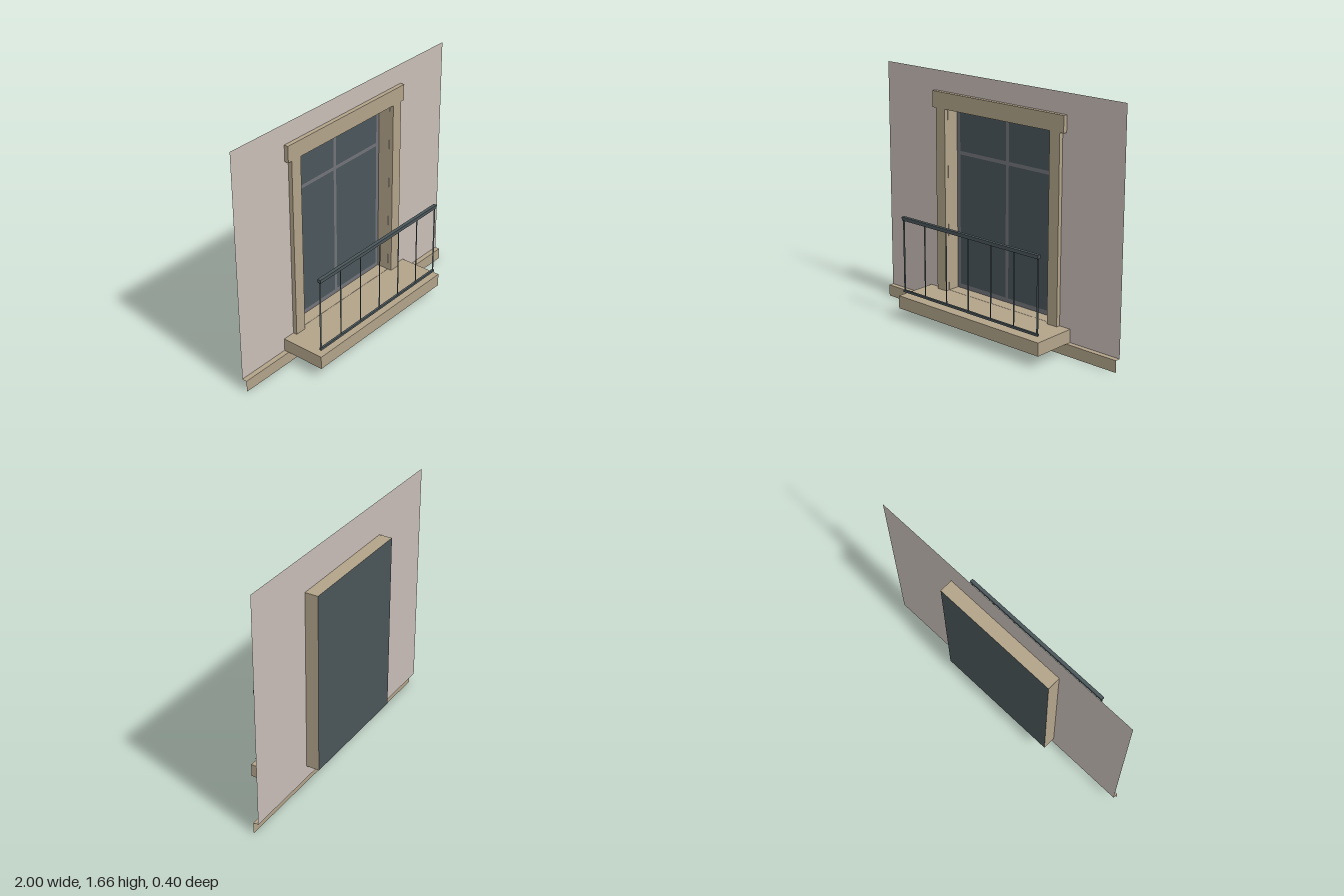
import * as THREE from 'three';

const mat = (name, color) => {
  const m = new THREE.MeshStandardMaterial({ color, side: THREE.DoubleSide });
  m.name = name;
  return m;
};

export function createModel() {
  const model = new THREE.Group();
  model.name = 'balconyWindow';
  const plaster = mat('plaster', 0xc9beb8);
  const stone = mat('stone', 0xb2a48a);
  const darkGrey = mat('darkGrey', 0x4b565a);
  const frameGrey = mat('frameGrey', 0x727379);

  const add = (name, geometry, material, parent = model) => {
    const mesh = new THREE.Mesh(geometry, material);
    mesh.name = name;
    parent.add(mesh);
    return mesh;
  };
  // Box and flat panels given by their limits
  const box = (name, m, x0, x1, y0, y1, z0, z1, parent) =>
    add(name, new THREE.BoxGeometry(x1 - x0, y1 - y0, z1 - z0), m, parent)
      .position.set((x0 + x1) / 2, (y0 + y1) / 2, (z0 + z1) / 2);
  const panel = (name, m, x0, x1, y0, y1, z, parent) =>
    add(name, new THREE.PlaneGeometry(x1 - x0, y1 - y0), m, parent)
      .position.set((x0 + x1) / 2, (y0 + y1) / 2, z);
  const rect = (Type, x0, x1, y0, y1) => new Type([
    [x0, y0], [x1, y0], [x1, y1], [x0, y1],
  ].map(([x, y]) => new THREE.Vector2(x, y)));

  const W = 0.445, BOTTOM = 0.17, TOP = 1.42; // window opening
  const WALL = -0.11, BACK = -0.2;

  // Wall sheet with the window opening
  const wall = rect(THREE.Shape, -1, 1, 0.08, 1.665);
  wall.holes.push(rect(THREE.Path, -W, W, BOTTOM, TOP));
  add('wall', new THREE.ShapeGeometry(wall), plaster).position.z = WALL;

  // Ledge along the foot of the wall: a front and a top only
  panel('ledgeFront', stone, -1, 1, 0, 0.08, -0.075);
  const ledgeTop = add('ledgeTop', new THREE.PlaneGeometry(2, 0.035), stone);
  ledgeTop.rotation.x = -Math.PI / 2;
  ledgeTop.position.set(0, 0.08, -0.0925);

  // Balcony slab
  box('balconySlab', stone, -0.612, 0.612, 0.081, BOTTOM, -0.108, 0.2);

  // Stone surround
  for (const s of [-1, 1]) {
    const x = s * (W + 0.525) / 2, h = (0.525 - W) / 2;
    box('jamb', stone, x - h, x + h, BOTTOM, TOP, -0.109, -0.08);
  }
  box('lintel', stone, -0.555, 0.555, TOP, 1.53, -0.109, -0.08);

  // Reveal: four sheets running back from the opening to the glass
  const depth = WALL - BACK, zMid = (WALL + BACK) / 2;
  for (const s of [-1, 1]) {
    const side = add('revealSide', new THREE.PlaneGeometry(depth, TOP - BOTTOM), stone);
    side.rotation.y = -s * Math.PI / 2;
    side.position.set(s * W, (TOP + BOTTOM) / 2, zMid);
    const cap = add(s > 0 ? 'revealTop' : 'revealFloor', new THREE.PlaneGeometry(2 * W, depth), stone);
    cap.rotation.x = s * Math.PI / 2;
    cap.position.set(0, s > 0 ? TOP : BOTTOM, zMid);
  }

  // Glass, with a thin frame cut for four panes
  panel('glass', darkGrey, -W, W, BOTTOM, TOP, BACK);
  const frame = rect(THREE.Shape, -W, W, BOTTOM, TOP);
  for (const [x0, x1] of [[-0.417, -0.012], [0.012, 0.417]])
    for (const [y0, y1] of [[0.2, 1.103], [1.127, 1.39]])
      frame.holes.push(rect(THREE.Path, x0, x1, y0, y1));
  add('windowFrame', new THREE.ShapeGeometry(frame), frameGrey).position.z = BACK + 0.004;

  // Railing: two square rails and flat uprights
  const railing = new THREE.Group();
  railing.name = 'railing';
  model.add(railing);
  box('topRail', darkGrey, -0.588, 0.588, 0.698, 0.722, 0.16, 0.184, railing);
  box('bottomRail', darkGrey, -0.588, 0.588, 0.198, 0.213, 0.165, 0.18, railing);
  for (let i = -3; i <= 3; i++) {
    const x = i * 0.1935, h = Math.abs(i) === 3 ? 0.008 : 0.006;
    panel('upright', darkGrey, x - h, x + h, 0.205, 0.71, 0.172, railing);
  }
  return model;
}
